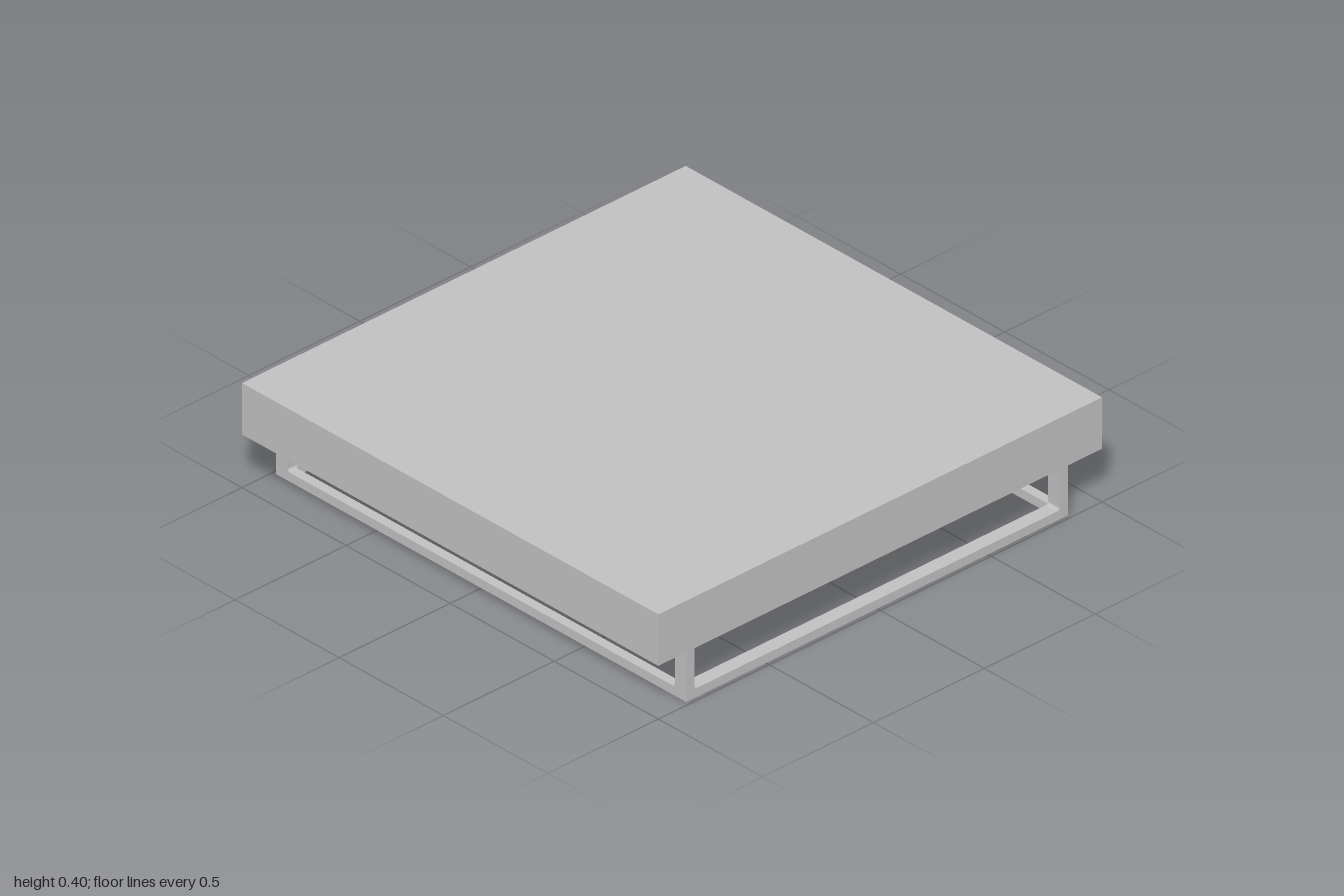
import * as THREE from 'three';

const GREY = new THREE.MeshStandardMaterial({ color: 0xc0c0c0 });
GREY.name = 'lightGrey';

const SLAB_BOTTOM = 0.205, TOP = 0.403;
const HALF_X = 0.985, HALF_Z = 0.86;   // outer reach of the frame
const BAR_X = 0.055, BAR_Z = 0.037;    // bar thickness along x and z
const RAIL = 0.035, FILLET = 0.012;    // rail height and inner corner radius

function addMesh(group, geometry, name, x = 0, y = 0, z = 0) {
  const mesh = new THREE.Mesh(geometry, GREY);
  mesh.name = name;
  mesh.position.set(x, y, z);
  group.add(mesh);
  return mesh;
}

// Rail between two legs, curving up a little where it meets them
function railGeometry(half, depth) {
  const s = new THREE.Shape();
  s.moveTo(-half, 0);
  s.lineTo(half, 0);
  s.lineTo(half, RAIL + FILLET);
  s.absarc(half - FILLET, RAIL + FILLET, FILLET, 0, -Math.PI / 2, true);
  s.lineTo(-half + FILLET, RAIL);
  s.absarc(-half + FILLET, RAIL + FILLET, FILLET, -Math.PI / 2, -Math.PI, true);
  s.closePath();
  const g = new THREE.ExtrudeGeometry(s, { depth, bevelEnabled: false, curveSegments: 6 });
  return g.translate(0, 0, -depth / 2);
}

export function createModel() {
  const model = new THREE.Group();
  model.name = 'lowTable';

  // Thick square top
  addMesh(model, new THREE.BoxGeometry(2, TOP - SLAB_BOTTOM, 2), 'tabletop', 0, (TOP + SLAB_BOTTOM) / 2, 0);

  // Open base frame
  const frame = new THREE.Group();
  frame.name = 'baseFrame';
  model.add(frame);

  const legX = HALF_X - BAR_X / 2, legZ = HALF_Z - BAR_Z / 2;
  const leg = new THREE.BoxGeometry(BAR_X, SLAB_BOTTOM, BAR_Z);
  const longRail = railGeometry(HALF_X - BAR_X, BAR_Z);
  const sideRail = railGeometry(HALF_Z - BAR_Z, BAR_X).rotateY(Math.PI / 2);

  for (const s of [1, -1]) {
    addMesh(frame, longRail, s > 0 ? 'frontRail' : 'backRail', 0, 0, s * legZ);
    addMesh(frame, sideRail, s > 0 ? 'leftRail' : 'rightRail', s * legX, 0, 0);
    for (const t of [1, -1]) {
      const name = (t > 0 ? 'front' : 'back') + (s > 0 ? 'Left' : 'Right') + 'Leg';
      addMesh(frame, leg, name, s * legX, SLAB_BOTTOM / 2, t * legZ);
    }
  }
  return model;
}
